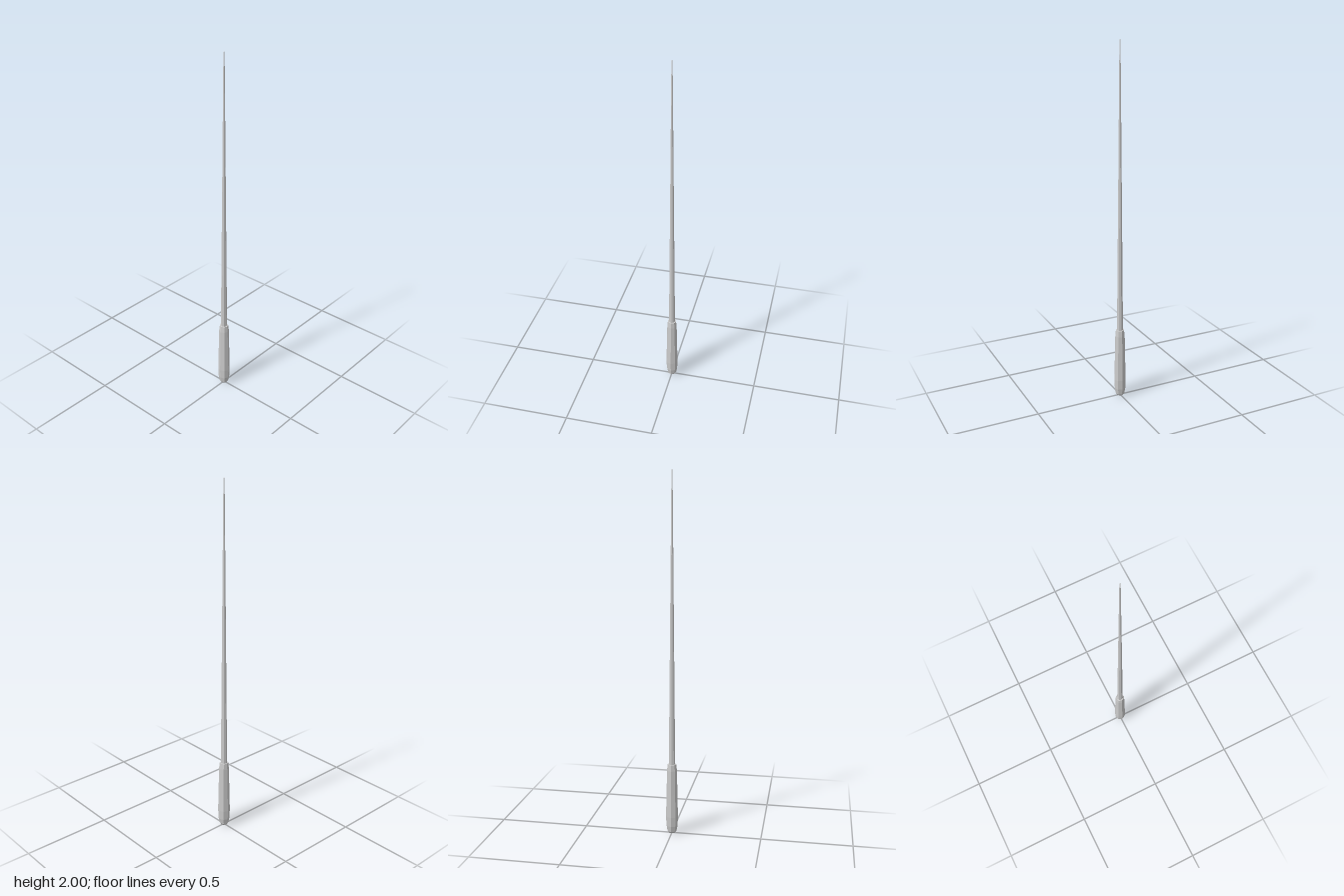
import * as THREE from 'three';

const SIDES = 8;

// Eight-sided turned part from [radius, height] pairs, bottom to top
function turned(name, profile) {
  const points = profile.map(([r, y]) => new THREE.Vector2(r, y));
  const material = new THREE.MeshStandardMaterial({ color: 0xcccccc, flatShading: true });
  const mesh = new THREE.Mesh(new THREE.LatheGeometry(points, SIDES), material);
  mesh.name = name;
  return mesh;
}

export function createModel() {
  const model = new THREE.Group();
  model.name = 'wand';

  // Grip: rounded butt, widest near the bottom, narrowing to a bevelled collar
  model.add(turned('handle', [
    [0, 0], [0.018, 0.002], [0.026, 0.012], [0.032, 0.045], [0.034, 0.1],
    [0.031, 0.23], [0.028, 0.37], [0.024, 0.405], [0, 0.407],
  ]));

  // Long straight taper to a fine tip
  model.add(turned('shaft', [
    [0, 0.38], [0.018, 0.38], [0.003, 1.997], [0, 2],
  ]));

  return model;
}
